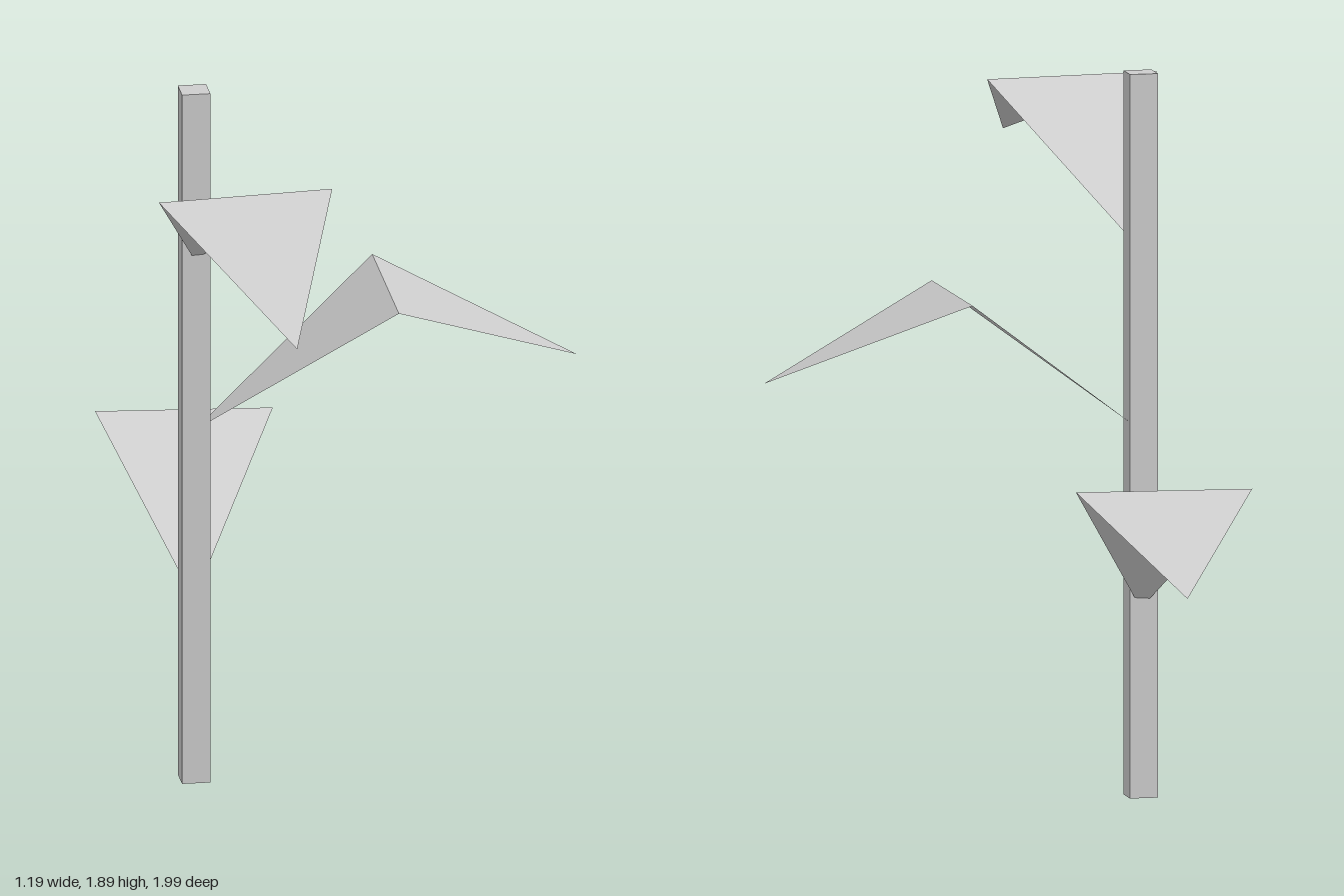
import * as THREE from 'three';

export function createModel() {
  const model = new THREE.Group();
  const grey = new THREE.MeshStandardMaterial({ color: 0xcccccc, side: THREE.DoubleSide });
  grey.name = 'lightGrey';

  const stemX = -0.405, stemZ = -0.155, stemHeight = 1.89;

  // Square upright stem
  const stem = new THREE.Mesh(new THREE.BoxGeometry(0.074, stemHeight, 0.074), grey);
  stem.name = 'stem';
  stem.position.set(stemX, stemHeight / 2, stemZ);
  model.add(stem);

  // Folded kite leaf: rises from the stem axis to a level crease, then droops to its tip
  function addLeaf(name, y, length, yaw, rise, drop) {
    const mid = length / 2, half = 0.23;
    const root = [0, 0, 0], tip = [length, rise - drop, 0];
    const left = [mid, rise, -half], right = [mid, rise, half];
    const geometry = new THREE.BufferGeometry();
    const corners = [root, right, left, tip, left, right].flat();
    geometry.setAttribute('position', new THREE.Float32BufferAttribute(corners, 3));
    geometry.computeVertexNormals();
    const leaf = new THREE.Mesh(geometry, grey);
    leaf.name = name;
    leaf.position.set(stemX, y, stemZ);
    leaf.rotation.y = yaw;
    model.add(leaf);
  }

  addLeaf('frontLeaf', 1.425, 1.15, -1.488, 0.375, 0.22);
  addLeaf('leftLeaf', 0.955, 1.0, 0, 0.375, 0.22);
  addLeaf('backLeaf', 0.49, 0.85, 1.482, 0.37, 0.22);

  return model;
}
